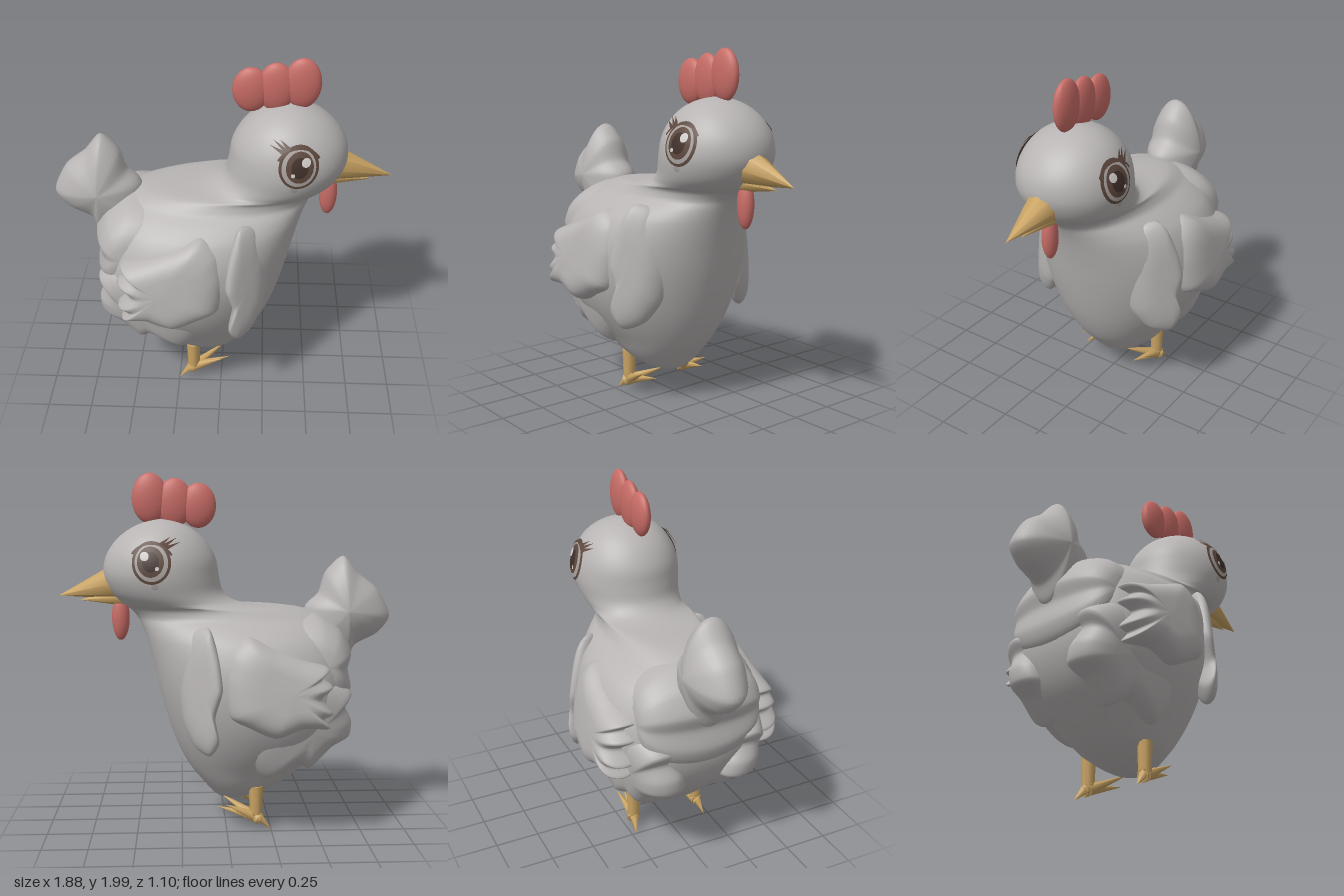
import * as THREE from 'three';

const mat = (name, color, side = THREE.FrontSide) => {
  const m = new THREE.MeshStandardMaterial({ color, side });
  m.name = name;
  return m;
};
const V = (x, y, z) => new THREE.Vector3(x, y, z);

// Skin a stack of closed rings of equal length
function loft(rings) {
  const n = rings[0].length, pos = [], idx = [];
  rings.forEach(r => r.forEach(p => pos.push(p.x, p.y, p.z)));
  for (let j = 0; j < rings.length - 1; j++) for (let i = 0; i < n; i++) {
    const a = j * n + i, b = j * n + (i + 1) % n;
    idx.push(a, a + n, b, b, a + n, b + n);
  }
  const g = new THREE.BufferGeometry();
  g.setAttribute('position', new THREE.Float32BufferAttribute(pos, 3));
  g.setIndex(idx);
  g.computeVertexNormals();
  return g;
}

// Body and head profile: height, back x, front x, half width
const PROFILE = [
  [0.145, -0.041, -0.039, 0.001], [0.155, -0.11, 0.03, 0.08], [0.185, -0.2, 0.075, 0.145], [0.25, -0.33, 0.13, 0.23],
  [0.35, -0.45, 0.21, 0.3], [0.5, -0.59, 0.285, 0.4], [0.65, -0.66, 0.335, 0.465],
  [0.8, -0.68, 0.375, 0.49], [0.95, -0.675, 0.41, 0.475], [1.08, -0.65, 0.445, 0.42], [1.15, -0.61, 0.47, 0.35],
  [1.2, -0.56, 0.495, 0.28], [1.25, -0.42, 0.54, 0.257], [1.28, -0.08, 0.58, 0.265],
  [1.34, 0.01, 0.64, 0.287], [1.43, 0.035, 0.68, 0.303], [1.52, 0.05, 0.675, 0.293],
  [1.6, 0.09, 0.635, 0.26], [1.67, 0.155, 0.565, 0.205], [1.72, 0.24, 0.475, 0.125],
  [1.743, 0.33, 0.385, 0.03], [1.745, 0.355, 0.36, 0.002],
];
const SPANS = (PROFILE.length - 1) * 4;
const edges = new THREE.CatmullRomCurve3(PROFILE.map(p => V(p[1], p[0], p[2])));
const widths = new THREE.CatmullRomCurve3(PROFILE.map(p => V(p[3], p[0], 0)));
const ROWS = Array.from({ length: SPANS + 1 }, (_, i) => {
  const e = edges.getPoint(i / SPANS), w = widths.getPoint(i / SPANS);
  return { y: e.y, cx: (e.x + e.z) / 2, rx: (e.z - e.x) / 2, rz: w.x };
});

// Sections are round at the head, with a broad rump and a narrower breast on the trunk
function bodyGeometry() {
  return loft(ROWS.map(r => {
    const trunk = Math.max(0, 1 - ((r.y - 0.75) / 0.52) ** 2);
    return Array.from({ length: 56 }, (_, i) => {
      const a = i / 56 * Math.PI * 2, c = Math.cos(a), s = Math.sin(a);
      const power = 1 + trunk * (c < 0 ? -0.25 : 0.04);
      const full = v => Math.sign(v) * Math.abs(v) ** power;
      return V(r.cx + r.rx * full(c), r.y, r.rz * full(s));
    });
  }));
}

// Half width of the head at a point seen from the side
function surfaceZ(x, y) {
  const k = Math.max(1, ROWS.findIndex(r => r.y >= y));
  const a = ROWS[k - 1], b = ROWS[k], t = (y - a.y) / (b.y - a.y);
  const mix = key => a[key] + (b[key] - a[key]) * t;
  return mix('rz') * Math.sqrt(Math.max(0, 1 - ((x - mix('cx')) / mix('rx')) ** 2));
}

// Pillow-shaped feather mass from a side outline, leaning by tilt (per y) and slope (per x)
function puff(outline, side, z0, thick, { tilt = 0, slope = 0, power = 0.5 } = {}) {
  const curve = new THREE.CatmullRomCurve3(outline.map(p => V(p[0], p[1], 0)), true, 'catmullrom', 0.35);
  const pts = curve.getPoints(outline.length * 5).slice(0, -1);
  if (!THREE.ShapeUtils.isClockWise(pts)) pts.reverse();
  const c = pts.reduce((s, p) => s.add(p), V(0, 0, 0)).divideScalar(pts.length);
  const rings = [];
  for (let k = 0; k <= 20; k++) {
    const a = (k / 20 - 0.5) * Math.PI;
    const s = Math.max(0.005, Math.max(0, Math.cos(a)) ** power);
    rings.push(pts.map(p => {
      const dx = (p.x - c.x) * s, dy = (p.y - c.y) * s;
      return V(c.x + dx, c.y + dy, side * (z0 + tilt * dy + slope * dx) + thick * Math.sin(a));
    }));
  }
  return loft(rings);
}

// Tapered rod between two points
function rod(from, to, r0, r1, sides = 8) {
  const d = to.clone().sub(from);
  const g = new THREE.CylinderGeometry(r1, r0, d.length(), sides);
  g.applyQuaternion(new THREE.Quaternion().setFromUnitVectors(V(0, 1, 0), d.normalize()));
  const m = from.clone().add(to).multiplyScalar(0.5);
  return g.translate(m.x, m.y, m.z);
}

// Lay a flat geometry on the side of the head
function onHead(g, side, lift) {
  const p = g.attributes.position;
  for (let i = 0; i < p.count; i++) p.setZ(i, side * (surfaceZ(p.getX(i), p.getY(i)) + lift));
  g.computeVertexNormals();
  return g;
}

const WING = [[0.03, 0.9], [0, 1.05], [-0.1, 1.13], [-0.25, 1.07], [-0.4, 1.01], [-0.54, 0.96], [-0.5, 0.91],
  [-0.56, 0.86], [-0.5, 0.8], [-0.56, 0.72], [-0.51, 0.69], [-0.54, 0.64], [-0.4, 0.64], [-0.25, 0.59],
  [-0.1, 0.65], [0, 0.71]];
const SHOULDER = [[0.1, 1.17], [0.19, 1.14], [0.25, 1.0], [0.26, 0.82], [0.24, 0.65], [0.18, 0.53],
  [0.1, 0.49], [0.05, 0.57], [0.07, 0.7], [0.03, 0.85], [0.05, 1.02]];
const FLANK = [[-0.2, 0.8], [-0.5, 0.9], [-0.68, 0.81], [-0.65, 0.73], [-0.69, 0.64], [-0.68, 0.55],
  [-0.58, 0.49], [-0.46, 0.37], [-0.38, 0.4], [-0.2, 0.32], [-0.1, 0.5]];
const RUMP = [[-0.3, 1.2], [-0.5, 1.23], [-0.64, 1.15], [-0.71, 1.02], [-0.69, 0.92], [-0.71, 0.8],
  [-0.66, 0.7], [-0.4, 0.65], [-0.25, 0.9]];
const TAIL = [[-0.45, 1.24], [-0.53, 1.33], [-0.57, 1.45], [-0.67, 1.54], [-0.76, 1.44], [-0.87, 1.35],
  [-0.94, 1.2], [-0.87, 1.1], [-0.74, 1.03], [-0.68, 0.92], [-0.45, 0.98]];

export function createModel() {
  const plumage = mat('plumage grey', 0xb7b4b3);
  const comb = mat('comb red', 0xc86c66);
  const horn = mat('beak and leg tan', 0xcaa464);
  const brown = mat('eye brown', 0x5c473d, THREE.DoubleSide);
  const pupilDark = mat('pupil dark brown', 0x402f29, THREE.DoubleSide);
  const eyeGrey = mat('eye grey', 0xa8a29e, THREE.DoubleSide);
  const glint = mat('eye glint', 0xd2cecb, THREE.DoubleSide);

  const group = new THREE.Group();
  group.name = 'hen';
  const add = (name, g, m) => {
    const mesh = new THREE.Mesh(g, m);
    mesh.name = name;
    group.add(mesh);
    return mesh;
  };
  const ellipsoid = (name, x, y, rx, ry, rz, m) => {
    const mesh = add(name, new THREE.SphereGeometry(1, 20, 14), m);
    mesh.scale.set(rx, ry, rz);
    mesh.position.set(x, y, 0);
  };

  add('bodyAndHead', bodyGeometry(), plumage);
  add('rump', puff(RUMP, 1, 0, 0.36, { power: 0.7 }), plumage);
  add('tail', puff(TAIL, 1, 0, 0.165, { power: 1.3 }), plumage);

  // Comb, wattle and beak
  ellipsoid('combBack', 0.15, 1.82, 0.1, 0.125, 0.044, comb);
  ellipsoid('combMiddle', 0.283, 1.835, 0.1, 0.137, 0.044, comb);
  ellipsoid('combFront', 0.42, 1.86, 0.1, 0.14, 0.044, comb);
  ellipsoid('wattle', 0.59, 1.195, 0.05, 0.13, 0.042, comb);
  add('upperBeak', rod(V(0.61, 1.395, 0), V(0.935, 1.32, 0), 0.1, 0), horn);
  add('lowerBeak', rod(V(0.58, 1.31, 0), V(0.82, 1.295, 0), 0.05, 0), horn);

  for (const s of [1, -1]) {
    const side = s > 0 ? 'left' : 'right';

    // Feather masses
    add(side + 'Wing', puff(WING, s, 0.4, 0.135, { tilt: -0.15, power: 0.45 }), plumage);
    add(side + 'Shoulder', puff(SHOULDER, s, 0.36, 0.085, { tilt: -0.1, slope: -0.75 }), plumage);
    add(side + 'Flank', puff(FLANK, s, 0.26, 0.13, { tilt: 0.2, slope: 0.2 }), plumage);

    // Leg and four toes
    const ankle = V(-0.165, 0.1, s * 0.205);
    add(side + 'Leg', rod(ankle, V(-0.165, 0.26, s * 0.205), 0.035, 0.04), horn);
    [[0.03, 0.185, 0.09], [0.055, 0.135, 0.17], [0.01, 0.165, 0.235], [-0.25, 0.01, 0.225]].forEach((t, i) => {
      const tip = V(t[0], t[1], s * t[2]);
      const root = ankle.clone().lerp(tip, -0.1);
      root.y -= i < 3 ? 0.02 : 0;
      add(side + 'Toe' + (i + 1), rod(root, tip, 0.036, 0), horn);
    });

    // Eye layers
    const disc = (name, x, y, rx, ry, lift, m) => add(side + name,
      onHead(new THREE.RingGeometry(0, 1, 32, 5).scale(rx, ry, 1).translate(x, y, 0), s, lift), m);
    disc('EyeRim', 0.405, 1.515, 0.105, 0.115, 0.010, brown);
    disc('EyeWhite', 0.405, 1.515, 0.09, 0.1, 0.013, eyeGrey);
    disc('Iris', 0.41, 1.52, 0.072, 0.082, 0.016, brown);
    disc('Pupil', 0.41, 1.52, 0.045, 0.055, 0.019, pupilDark);
    disc('GlintLarge', 0.442, 1.55, 0.024, 0.024, 0.022, glint);
    disc('GlintSmall', 0.375, 1.485, 0.011, 0.011, 0.022, glint);
    disc('LowerLid', 0.387, 1.387, 0.02, 0.018, 0.004, eyeGrey);

    // Upper lid line and lashes
    const lid = new THREE.RingGeometry(0.9, 1, 24, 2, 0.5, 2.2).scale(0.125, 0.112, 1).translate(0.405, 1.51, 0);
    add(side + 'LidLine', onHead(lid, s, 0.02), brown);
    [[0.25, 1.625], [0.27, 1.648], [0.305, 1.652]].forEach(([x, y], i) => {
      const bx = 0.325 + i * 0.015, by = 1.595 + i * 0.008;
      const lash = new THREE.Shape([[bx - 0.008, by - 0.008], [bx + 0.008, by + 0.008], [x, y]]
        .map(p => new THREE.Vector2(...p)));
      add(side + 'Lash' + (i + 1), onHead(new THREE.ShapeGeometry(lash), s, 0.021), brown);
    });
  }
  return group;
}
